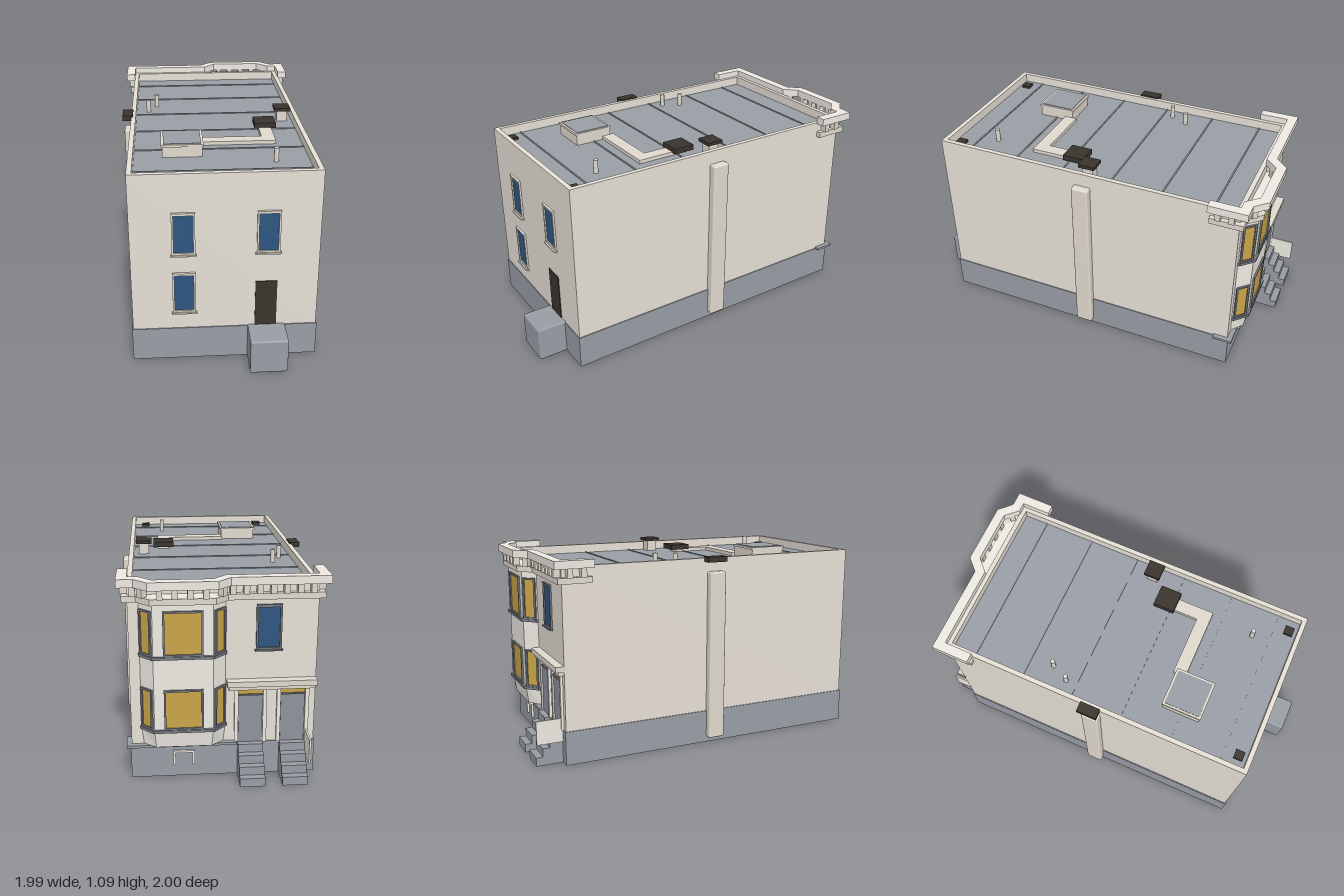
import * as THREE from 'three';
import { RoundedBoxGeometry } from 'three/addons/geometries/RoundedBoxGeometry.js';

const mat = (color) => new THREE.MeshStandardMaterial({ color });
const M = {
  wall: mat(0xe6e0d6), trim: mat(0xe0d9ce), pale: mat(0xeeeae3), base: mat(0x989da5), roof: mat(0x999ea6),
  frame: mat(0x777b84), blue: mat(0x2f5680), amber: mat(0xc9a448), dark: mat(0x3a342d), door: mat(0x8e949c),
};
// Half width, half length, front of the bay, roof level, wall top
const W = 0.477, F = 0.877, B = 0.944, ROOF = 1.005, TOP = 1.055;
const BAY = -0.207, BAY_WALL = 0.216, BAY_FRONT = 0.15;

export function createModel() {
  const house = new THREE.Group();
  house.name = 'townhouse';

  function add(name, geo, material, parent = house) {
    const mesh = new THREE.Mesh(geo, material);
    mesh.name = name;
    parent.add(mesh);
    return mesh;
  }
  // Box given by its limits on each axis
  function box(name, material, x0, x1, y0, y1, z0, z1, parent = house) {
    const mesh = add(name, new THREE.BoxGeometry(x1 - x0, y1 - y0, z1 - z0), material, parent);
    mesh.position.set((x0 + x1) / 2, (y0 + y1) / 2, (z0 + z1) / 2);
    return mesh;
  }
  // Upright prism from a floor plan of [x, z] points
  function prism(plan, y0, y1, hole) {
    const pts = (p) => p.map(([x, z]) => new THREE.Vector2(x, -z));
    const shape = new THREE.Shape(pts(plan));
    if (hole) shape.holes.push(new THREE.Path(pts(hole)));
    const geo = new THREE.ExtrudeGeometry(shape, { depth: y1 - y0, bevelEnabled: false });
    return geo.rotateX(-Math.PI / 2).translate(0, y0, 0);
  }
  const rect = (w, l) => [[-w, l], [w, l], [w, -l], [-w, -l]];

  // Bay plan, and the whole street front line wrapping both corners, offset outward by o
  const bayLine = (o) => {
    const k = 0.414 * o;
    return [[BAY - BAY_WALL - k, F + o], [BAY - BAY_FRONT - k, B + o], [BAY + BAY_FRONT + k, B + o], [BAY + BAY_WALL + k, F + o]];
  };
  const bayPlan = (o) => {
    const p = bayLine(o);
    return [[p[0][0], F - 0.005], ...p, [p[3][0], F - 0.005]];
  };
  const frontLine = (o, back) => [[-W - o, back], [-W - o, F + o], ...bayLine(o), [W + o, F + o], [W + o, back]];
  const band = (o, back, y0, y1) => prism([...frontLine(o, back), ...frontLine(-0.003, back).reverse()], y0, y1);

  // Main shell and roof
  box('basement', M.base, -0.482, 0.482, 0, 0.185, -0.882, 0.882);
  add('walls', prism(rect(W, F), 0.185, TOP, rect(W - 0.026, F - 0.026)), M.wall);
  box('roof', M.roof, -W + 0.02, W - 0.02, 0.96, ROOF, -F + 0.02, F - 0.02);
  for (let i = 0; i < 6; i++) {
    const z = -0.73 + i * 0.29;
    box('roofSeam', M.roof, -W + 0.026, W - 0.026, ROOF, ROOF + 0.005, z - 0.004, z + 0.004);
  }

  // Framed opening facing local +z, with optional sill and lintel
  function opening(name, x, z, angle, w, y0, y1, paneMat, frameMat, ledges) {
    const g = new THREE.Group();
    g.name = name;
    g.position.set(x, 0, z);
    g.rotation.y = angle;
    house.add(g);
    const h = w / 2, t = 0.01;
    box('pane', paneMat, -h + t, h - t, y0 + t, y1 - t, -0.004, 0.003, g);
    for (const s of [-1, 1]) box('jamb', frameMat, s * (h - t / 2) - t / 2, s * (h - t / 2) + t / 2, y0, y1, -0.004, 0.01, g);
    box('head', frameMat, -h + t, h - t, y1 - t, y1, -0.004, 0.01, g);
    box('foot', frameMat, -h + t, h - t, y0, y0 + t, -0.004, 0.01, g);
    if (ledges) {
      box('sill', frameMat, -h - 0.006, h + 0.006, y0 - 0.008, y0, -0.004, 0.018, g);
      box('lintel', frameMat, -h, h, y1, y1 + 0.005, -0.004, 0.013, g);
    }
  }

  // Rear wall: windows, door and landing
  for (const [x, y] of [[0.21, 0.62], [0.21, 0.285], [-0.215, 0.62]]) {
    opening('rearWindow', x, -F, Math.PI, 0.118, y, y + 0.225, M.blue, M.trim, true);
  }
  box('rearDoor', M.dark, -0.266, -0.154, 0.185, 0.45, -F - 0.005, -F + 0.01);
  const landing = add('rearLanding', new RoundedBoxGeometry(0.195, 0.19, 0.18, 2, 0.008), M.base);
  landing.position.set(-0.2155, 0.095, -0.95);

  // Bay: foot narrowing downward, window storeys, plain panel between
  const foot = prism(bayPlan(0), 0.195, 0.285);
  const p = foot.attributes.position;
  for (let i = 0; i < p.count; i++) {
    if (p.getY(i) > 0.24) continue;
    p.setX(i, BAY + (p.getX(i) - BAY) * 0.95);
    if (p.getZ(i) > F) p.setZ(i, p.getZ(i) - (p.getZ(i) - F) * 0.2);
  }
  foot.computeVertexNormals();
  add('bayFoot', foot, M.pale);
  add('bayBody', prism(bayPlan(0), 0.285, 1.0), M.pale);
  for (const [y0, y1] of [[0.285, 0.518], [0.683, 0.932]]) {
    add('baySill', prism(bayPlan(0.014), y0, y0 + 0.015), M.frame);
    opening('bayFrontWindow', BAY, B, 0, 0.2, y0 + 0.015, y1, M.amber, M.frame);
    for (const s of [-1, 1]) {
      opening('baySideWindow', BAY + s * (BAY_WALL + BAY_FRONT) / 2, (F + B) / 2, s * Math.PI / 4, 0.078, y0 + 0.015, y1, M.amber, M.frame);
    }
  }

  // Entrance: two doors with lights above, posts, canopy and steps
  opening('upperWindow', 0.228, F, 0, 0.13, 0.70, 0.932, M.blue, M.frame, true);
  for (const x of [0.14, 0.36]) {
    box('frontDoor', M.door, x - 0.062, x + 0.062, 0.185, 0.455, F - 0.01, F + 0.006);
    box('doorLight', M.amber, x - 0.062, x + 0.062, 0.455, 0.49, F - 0.01, F + 0.004);
    box('doorBar', M.frame, x - 0.062, x + 0.062, 0.45, 0.457, F - 0.01, F + 0.012);
    for (let i = 0; i < 4; i++) {
      const y = 0.185 - i * 0.046;
      box('step', M.base, x - 0.066, x + 0.066, Math.max(0, y - 0.092), y, F, F + 0.038 * (i + 1));
    }
  }
  for (const x of [0.066, 0.214, 0.286, 0.434]) box('doorPost', M.pale, x - 0.01, x + 0.01, 0.185, 0.49, F - 0.01, F + 0.014);
  box('canopyBase', M.trim, 0.025, 0.47, 0.488, 0.51, F - 0.01, F + 0.03);
  box('canopy', M.trim, 0.015, 0.478, 0.51, 0.54, F - 0.01, F + 0.046);
  box('stepScreen', M.pale, 0.427, 0.437, 0.12, 0.25, F, 1.025);

  // Ledge above the basement and a small rail below the bay
  box('basementLedge', M.base, -0.503, 0.07, 0.18, 0.194, 0.797, 0.905);
  for (const s of [-1, 1]) box('railPost', M.pale, BAY + s * 0.05 - 0.006, BAY + s * 0.05 + 0.006, 0.07, 0.15, 0.88, 0.895);
  box('railBar', M.pale, BAY - 0.056, BAY + 0.056, 0.138, 0.15, 0.88, 0.895);

  // Cornice: lower moulding, brackets, top slab
  add('lowerCornice', band(0.027, 0.72, 0.968, 1.0), M.trim);
  add('topCornice', band(0.05, 0.715, 1.048, 1.09), M.pale);
  const line = frontLine(0, 0.73);
  for (let i = 0; i < line.length - 1; i++) {
    const [ax, az] = line[i], [bx, bz] = line[i + 1];
    const len = Math.hypot(bx - ax, bz - az), n = Math.max(1, Math.round(len / 0.07));
    for (let j = 0; j < n; j++) {
      const t = (j + 0.5) / n;
      const bracket = add('corniceBracket', new THREE.BoxGeometry(0.03, 0.05, 0.036), M.trim);
      bracket.rotation.y = Math.atan2(-(bz - az), bx - ax);
      bracket.position.set(ax + (bx - ax) * t, 1.024, az + (bz - az) * t);
      bracket.translateZ(0.018);
    }
  }

  // Chimney breasts on both side walls and their caps
  for (const s of [-1, 1]) {
    const breast = add('chimneyBreast', new RoundedBoxGeometry(0.06, 0.95, 0.097, 2, 0.01), M.trim);
    breast.position.set(s * 0.488, 0.505, 0.002);
  }
  box('sideCap', M.dark, 0.468, 0.526, 1.035, 1.064, -0.045, 0.069);
  box('chimneyStack', M.trim, -0.424, -0.364, ROOF, 1.068, -0.018, 0.042);
  box('chimneyCap', M.dark, -0.44, -0.348, 1.068, 1.086, -0.034, 0.058);

  // Roof hatch, duct, fan box, vents and pipes
  box('hatch', M.trim, 0.096, 0.304, ROOF, 1.066, -0.544, -0.336);
  box('hatchLid', M.trim, 0.09, 0.31, 1.062, 1.075, -0.55, -0.33);
  box('hatchPanel', M.roof, 0.102, 0.298, 1.07, 1.078, -0.538, -0.342);
  box('ductAcross', M.trim, -0.309, 0.1, ROOF, 1.025, -0.384, -0.313);
  box('ductAlong', M.trim, -0.309, -0.238, ROOF, 1.025, -0.313, -0.1);
  box('fanStand', M.trim, -0.31, -0.245, ROOF, 1.025, -0.15, -0.09);
  box('fanBox', M.dark, -0.337, -0.217, 1.02, 1.05, -0.179, -0.059);
  for (const x of [-0.384, 0.384]) box('roofVent', M.dark, x - 0.025, x + 0.025, ROOF, 1.02, -0.832, -0.782);
  for (const [x, z] of [[0.38, 0.2], [0.331, 0.298], [-0.277, -0.628]]) {
    add('ventPipe', new THREE.CylinderGeometry(0.013, 0.013, 0.075, 10), M.trim).position.set(x, ROOF + 0.036, z);
  }

  // The house stands turned, street front to the back left
  house.rotation.y = Math.PI * 0.75;
  house.position.set(-0.036, 0, 0.031);
  const model = new THREE.Group();
  model.name = 'building';
  model.add(house);
  return model;
}
